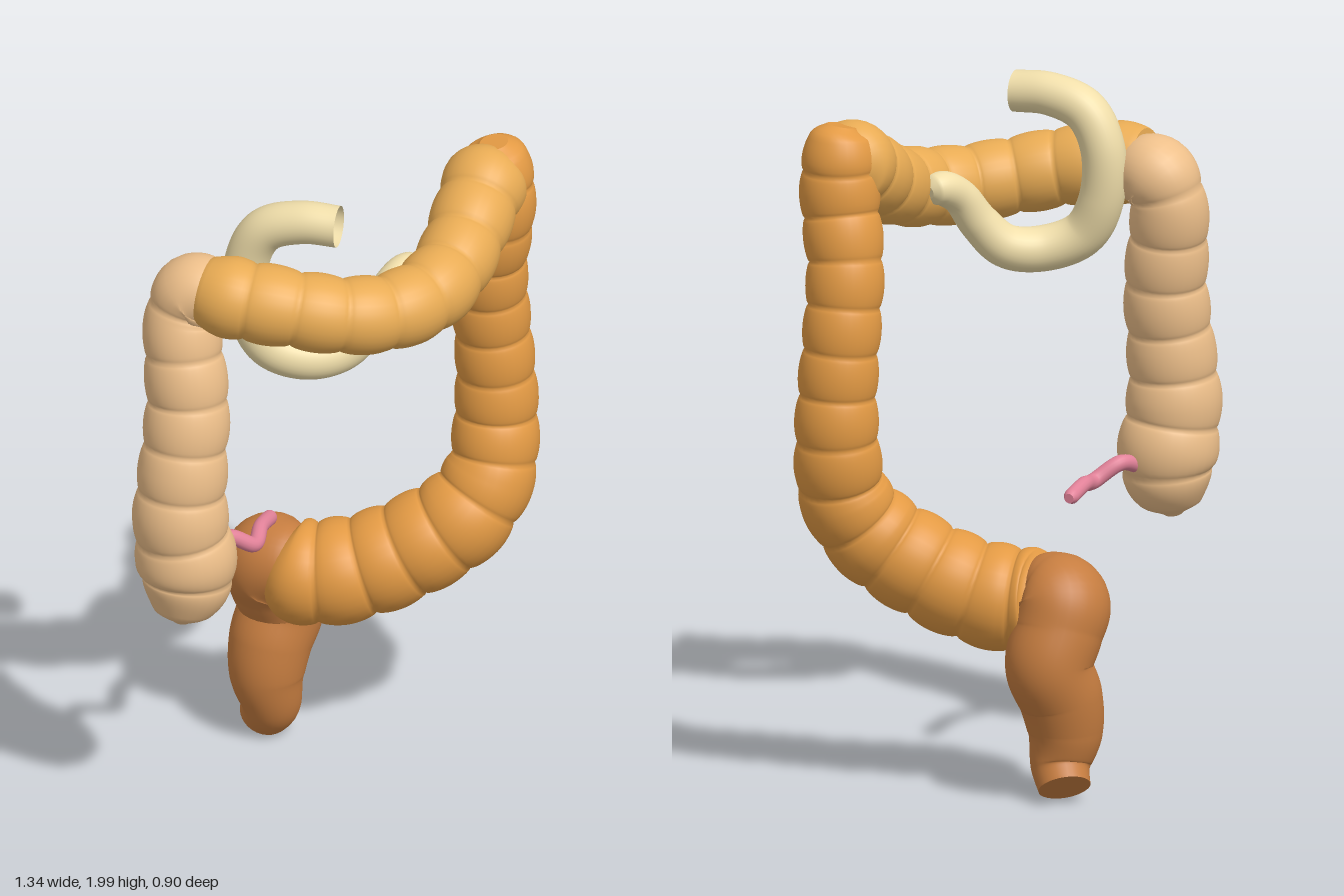
import * as THREE from 'three';

// Sweeps a round tube along stations [x, y, z, radius]; lobes adds scalloped pouches.
function sweep(name, color, stations, { lobes = 0, depth = 0.085, rings = 100, sides = 32, capStart = true } = {}) {
  const path = new THREE.CatmullRomCurve3(stations.map(s => new THREE.Vector3(s[0], s[1], s[2])));
  path.arcLengthDivisions = 600;
  const radii = new THREE.SplineCurve(stations.map(s => new THREE.Vector2(s[3], 0)));
  const frames = path.computeFrenetFrames(rings, false);
  const pos = [], index = [];

  const addRing = (i, scale) => {
    const u = i / rings, c = path.getPointAt(u);
    const pouch = lobes ? 1 - depth + depth * 1.2 * Math.abs(Math.sin(Math.PI * lobes * u)) ** 0.6 : 1;
    const r = radii.getPoint(path.getUtoTmapping(u)).x * pouch * scale;
    for (let j = 0; j <= sides; j++) {
      const a = (j % sides) / sides * Math.PI * 2;
      const p = c.clone()
        .addScaledVector(frames.normals[i], Math.cos(a) * r)
        .addScaledVector(frames.binormals[i], Math.sin(a) * r);
      pos.push(p.x, p.y, p.z);
    }
  };
  const row = sides + 1;
  const join = (a, b) => {
    for (let j = 0; j < sides; j++) {
      const p = a * row + j, q = b * row + j;
      index.push(p, p + 1, q, p + 1, q + 1, q);
    }
  };

  for (let i = 0; i <= rings; i++) addRing(i, 1);
  for (let i = 0; i < rings; i++) join(i, i + 1);
  // flat end caps on separate rings, so their rims stay sharp
  addRing(rings, 1); addRing(rings, 0);
  join(rings + 1, rings + 2);
  if (capStart) {
    addRing(0, 0); addRing(0, 1);
    join(rings + 3, rings + 4);
  }

  const geo = new THREE.BufferGeometry();
  geo.setAttribute('position', new THREE.Float32BufferAttribute(pos, 3));
  geo.setIndex(index);
  geo.computeVertexNormals();
  // average the normals along the tube's seam
  const n = geo.attributes.normal;
  for (let i = 0; i <= rings; i++) {
    const a = i * row, b = a + sides;
    const v = new THREE.Vector3().fromBufferAttribute(n, a).add(new THREE.Vector3().fromBufferAttribute(n, b)).normalize();
    n.setXYZ(a, v.x, v.y, v.z);
    n.setXYZ(b, v.x, v.y, v.z);
  }
  const mesh = new THREE.Mesh(geo, new THREE.MeshStandardMaterial({ color, side: THREE.DoubleSide }));
  mesh.name = name;
  return mesh;
}

export function createModel() {
  const model = new THREE.Group();
  model.name = 'largeIntestine';

  // Pouch at the bottom, rising to the first bend
  model.add(sweep('ascendingColon', 0xedbf8a, [
    [-0.54, 0.70, 0.09, 0.025], [-0.535, 0.735, 0.09, 0.085], [-0.517, 0.85, 0.085, 0.14],
    [-0.537, 1.03, 0.08, 0.136], [-0.525, 1.2, 0.075, 0.126], [-0.502, 1.38, 0.06, 0.12],
    [-0.5, 1.53, 0.035, 0.115], [-0.49, 1.64, 0.015, 0.11], [-0.465, 1.71, 0.03, 0.112],
    [-0.42, 1.725, 0.1, 0.1],
  ], { lobes: 8, rings: 128 }));

  // Bows forward across the top
  model.add(sweep('transverseColon', 0xe8ab54, [
    [-0.455, 1.74, 0.08, 0.105], [-0.4, 1.73, 0.145, 0.118], [-0.28, 1.71, 0.24, 0.114],
    [-0.14, 1.68, 0.31, 0.112], [0, 1.665, 0.335, 0.112], [0.14, 1.675, 0.315, 0.114],
    [0.27, 1.71, 0.24, 0.114], [0.39, 1.78, 0.14, 0.118], [0.475, 1.835, 0.07, 0.12],
    [0.52, 1.845, 0.035, 0.09],
  ], { lobes: 9, rings: 144 }));

  // Runs down the side, then curls inward and back
  model.add(sweep('descendingAndSigmoidColon', 0xe39a44, [
    [0.505, 1.947, 0.06, 0.045], [0.51, 1.92, 0.06, 0.085], [0.512, 1.84, 0.06, 0.11],
    [0.511, 1.72, 0.057, 0.114], [0.512, 1.55, 0.02, 0.111], [0.53, 1.36, 0.003, 0.111],
    [0.542, 1.2, 0.005, 0.114], [0.542, 1.03, 0.01, 0.122], [0.508, 0.87, 0.035, 0.13],
    [0.42, 0.75, 0.025, 0.142], [0.3, 0.66, -0.035, 0.147], [0.19, 0.6, -0.1, 0.15],
    [0.09, 0.572, -0.16, 0.153], [0.02, 0.57, -0.215, 0.148], [-0.02, 0.58, -0.27, 0.1],
  ], { lobes: 14, rings: 238 }));

  // Smooth final stretch, narrowing to a slanted end
  model.add(sweep('rectum', 0xc67d40, [
    [0.04, 0.6, -0.19, 0.08], [0.0, 0.6, -0.24, 0.12], [-0.018, 0.575, -0.295, 0.14],
    [0.005, 0.5, -0.32, 0.13], [0.035, 0.41, -0.33, 0.125], [-0.005, 0.31, -0.322, 0.12],
    [-0.022, 0.21, -0.315, 0.108], [-0.007, 0.11, -0.318, 0.086], [0, 0.055, -0.36, 0.075],
  ]));

  // Looped end of the small intestine, with one open mouth and one rounded end
  model.add(sweep('smallIntestineLoop', 0xf0deaa, [
    [-0.125, 1.94, 0.265, 0.06], [-0.2, 1.94, 0.19, 0.062], [-0.275, 1.9, 0.11, 0.064],
    [-0.31, 1.8, 0.07, 0.064], [-0.312, 1.65, 0.08, 0.065], [-0.275, 1.54, 0.125, 0.066],
    [-0.18, 1.495, 0.175, 0.066], [-0.07, 1.505, 0.2, 0.063], [0.01, 1.58, 0.215, 0.057],
    [0.07, 1.66, 0.21, 0.052], [0.13, 1.695, 0.195, 0.05], [0.17, 1.695, 0.185, 0.042],
    [0.182, 1.692, 0.18, 0.02],
  ], { capStart: false }));

  // Thin wavy tail beside the pouch
  model.add(sweep('appendix', 0xe28299, [
    [-0.42, 0.86, 0.05, 0.022], [-0.345, 0.885, 0.02, 0.023], [-0.26, 0.84, 0.02, 0.023],
    [-0.2, 0.85, -0.045, 0.022], [-0.135, 0.835, -0.105, 0.022], [-0.122, 0.833, -0.118, 0.014],
  ], { rings: 48, sides: 16 }));

  return model;
}
